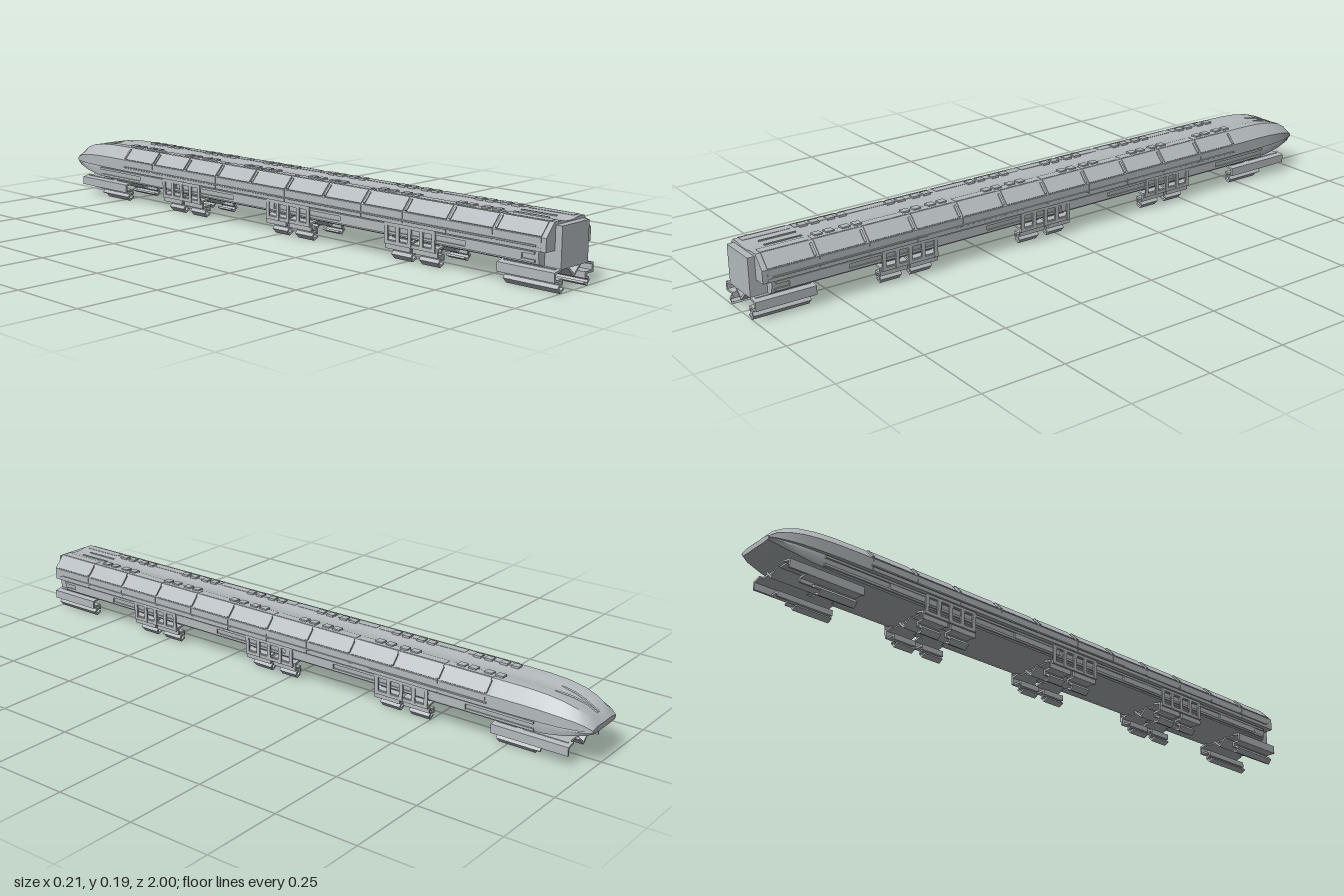
import * as THREE from 'three';
import { toCreasedNormals } from 'three/addons/utils/BufferGeometryUtils.js';

const hullGrey = new THREE.MeshStandardMaterial({ color: 0xb4babd });

// Skin a half cross-section (mirrored in x) through rings of [z, widthScale, heightScale].
function loft(half, rings, pivotY) {
  const section = [...half, ...half.slice(1, -1).reverse().map(([x, y]) => [-x, y])];
  const n = section.length;
  const pos = [];
  const at = (r, i) => {
    const [z, w, h] = rings[r];
    const [x, y] = section[i % n];
    return [x * w, pivotY + (y - pivotY) * h, z];
  };
  const tri = (a, b, c) => pos.push(...a, ...b, ...c);
  for (let r = 0; r < rings.length - 1; r++) {
    for (let i = 0; i < n; i++) {
      const a = at(r, i), b = at(r, i + 1), c = at(r + 1, i + 1), d = at(r + 1, i);
      tri(a, b, c);
      tri(a, c, d);
    }
  }
  const last = rings.length - 1;
  const mid = (r) => {
    const ys = section.map((_, i) => at(r, i)[1]);
    return [0, (Math.min(...ys) + Math.max(...ys)) / 2, rings[r][0]];
  };
  for (let i = 0; i < n; i++) {
    tri(mid(0), at(0, i + 1), at(0, i));
    tri(mid(last), at(last, i), at(last, i + 1));
  }
  const g = new THREE.BufferGeometry();
  g.setAttribute('position', new THREE.Float32BufferAttribute(pos, 3));
  return toCreasedNormals(g, 0.5);
}

export function createModel() {
  const train = new THREE.Group();
  train.name = 'maglevTrain';

  const add = (parent, name, geometry) => {
    const m = new THREE.Mesh(geometry, hullGrey);
    m.name = name;
    parent.add(m);
    return m;
  };
  const group = (name) => {
    const g = new THREE.Group();
    g.name = name;
    train.add(g);
    return g;
  };
  const box = (parent, name, x0, x1, y0, y1, z0, z1) => {
    const m = add(parent, name, new THREE.BoxGeometry(x1 - x0, y1 - y0, Math.abs(z1 - z0)));
    m.position.set((x0 + x1) / 2, (y0 + y1) / 2, (z0 + z1) / 2);
  };
  // Flat plate whose xy cross-section runs from a to b, stretched along z.
  const plate = (parent, name, a, b, t, z0, z1) => {
    const dx = b[0] - a[0], dy = b[1] - a[1];
    const m = add(parent, name, new THREE.BoxGeometry(Math.hypot(dx, dy) + t * 0.8, t, Math.abs(z1 - z0)));
    m.position.set((a[0] + b[0]) / 2, (a[1] + b[1]) / 2, (z0 + z1) / 2);
    m.rotation.z = Math.atan2(dy, dx);
  };
  const sides = (fn) => [1, -1].forEach(fn);
  const boxes = (parent, name, x0, x1, y0, y1, z0, z1) =>
    sides((s) => box(parent, name, Math.min(s * x0, s * x1), Math.max(s * x0, s * x1), y0, y1, z0, z1));

  // Upper shell with tapering nose
  add(train, 'upperShell', loft(
    [[0, 0.181], [0.018, 0.182], [0.036, 0.186], [0.065, 0.186], [0.099, 0.149], [0.099, 0.112], [0, 0.112]],
    [[0.98, 1, 1], [-0.71, 1, 1], [-0.8, 0.985, 0.99], [-0.86, 0.96, 0.94], [-0.91, 0.92, 0.83],
      [-0.95, 0.84, 0.66], [-0.98, 0.75, 0.43], [-1, 0.66, 0.13]], 0.112));

  // Lower skirt, rising under the nose
  add(train, 'lowerSkirt', loft(
    [[0, 0.112], [0.086, 0.112], [0.088, 0.1], [0.083, 0.073], [0.06, 0.065], [0, 0.065]],
    [[0.95, 1, 1], [-0.8, 1, 1], [-0.87, 0.97, 0.9], [-0.93, 0.93, 0.65], [-0.98, 0.82, 0.35], [-1, 0.72, 0.15]], 0.112));

  // Gangway at the coupling end
  box(train, 'gangway', -0.06, 0.06, 0.065, 0.178, 0.94, 1);

  // Raised panels on roof, shoulders and walls, parted by narrow gaps
  const panels = group('shellPanels');
  const pitch = 0.152;
  for (let i = 0; i < 11; i++) {
    const z0 = 0.965 - i * pitch, z1 = z0 - pitch + 0.012;
    sides((s) => {
      plate(panels, 'shoulderPanel', [s * 0.068, 0.1835], [s * 0.097, 0.152], 0.004, z0, z1);
      plate(panels, 'roofPanel', [s * 0.039, 0.186], [s * 0.062, 0.186], 0.002, z0, z1);
      // slanted rib across each shoulder gap
      plate(panels, 'shoulderRib', [s * 0.074, 0.178], [s * 0.095, 0.155], 0.008, z1 + 0.003, z1 - 0.004);
    });
    boxes(panels, 'wallPanel', 0.098, 0.1, 0.129, 0.148, z0, z1);
    boxes(panels, 'lowerWallPanel', 0.098, 0.1, 0.112, 0.122, z0, z1);
  }

  // Grab rail along the side walls
  boxes(train, 'sideRail', 0.098, 0.103, 0.1235, 0.1275, 0.95, -0.7);

  // Roof equipment boxes in small clusters
  const roof = group('roofEquipment');
  for (let i = 0; i < 6; i++) {
    const z = 0.8 - i * 0.275;
    [0, 0.036, 0.085, 0.121].forEach((d) =>
      boxes(roof, 'roofBox', 0.031, 0.052, 0.183, 0.191, z - d, z - d - 0.024));
  }
  boxes(roof, 'roofFin', 0.014, 0.019, 0.18, 0.185, 0.93, 0.82);

  // Converging ridges on the nose
  sides((s) => {
    const path = new THREE.CatmullRomCurve3([[0.02, 0.177, -0.86], [0.012, 0.171, -0.91], [0.006, 0.157, -0.95], [0.004, 0.142, -0.98]]
      .map(([x, y, z]) => new THREE.Vector3(s * x, y, z)));
    add(train, 'noseRidge', new THREE.TubeGeometry(path, 10, 0.003, 5));
  });

  // Longitudinal ducts on the skirt
  const ducts = group('skirtDucts');
  boxes(ducts, 'upperDuct', 0.08, 0.0925, 0.1, 0.107, 0.94, -0.84);
  boxes(ducts, 'lowerDuct', 0.078, 0.089, 0.078, 0.085, 0.94, -0.84);
  for (let i = 0; i < 5; i++) {
    const z = 0.9 - i * 0.45;
    if (i < 4) boxes(ducts, 'ductCover', 0.08, 0.091, 0.083, 0.1, z, z - 0.18);
  }

  // Side ladder frames over the middle bogies
  const frames = group('sideFrames');
  [0.53, 0.06, -0.42].forEach((c) => {
    boxes(frames, 'frameTop', 0.09, 0.0945, 0.103, 0.111, c + 0.09, c - 0.09);
    boxes(frames, 'frameBottom', 0.088, 0.0935, 0.05, 0.06, c + 0.09, c - 0.09);
    for (let k = -2; k <= 2; k++) {
      boxes(frames, 'framePost', 0.09, 0.0945, 0.05, 0.111, c + k * 0.042 + 0.006, c + k * 0.042 - 0.006);
    }
  });

  // Levitation bogies: folded guide brackets each side and a V channel in the middle
  const bogies = group('bogies');
  const bracket = [[0.06, 0.064], [0.084, 0.059], [0.084, 0.038], [0.053, 0.038], [0.053, 0.026],
    [0.062, 0.0245], [0.068, 0.017], [0.059, 0.0065], [0.047, 0.0125]];
  const inset = [0, 0, 0.006, 0.006, 0.01, 0.01, 0.012, 0.012];
  const bogie = (z0, z1, insetFront, insetBack) => {
    for (let k = 0; k < bracket.length - 1; k++) {
      const a = bracket[k], b = bracket[k + 1];
      sides((s) => plate(bogies, 'guideBracket', [s * a[0], a[1]], [s * b[0], b[1]], 0.006,
        z0 - inset[k] * insetFront, z1 + inset[k] * insetBack));
    }
    sides((s) => plate(bogies, 'centreChannel', [s * 0.024, 0.063], [0, 0.041], 0.006, z0, z1));
    box(bogies, 'bogieMount', -0.07, 0.07, 0.061, 0.067, z0 - 0.01, z1 + 0.01);
  };
  bogie(1, 0.82, 0, 1);
  [[0.625, 0.537], [0.528, 0.437], [0.15, 0.06], [0.047, -0.035], [-0.325, -0.412], [-0.425, -0.512]]
    .forEach(([z0, z1]) => bogie(z0, z1, 1, 1));
  bogie(-0.71, -0.79, 1, 0);
  bogie(-0.79, -0.945, 0, 9);

  return train;
}
